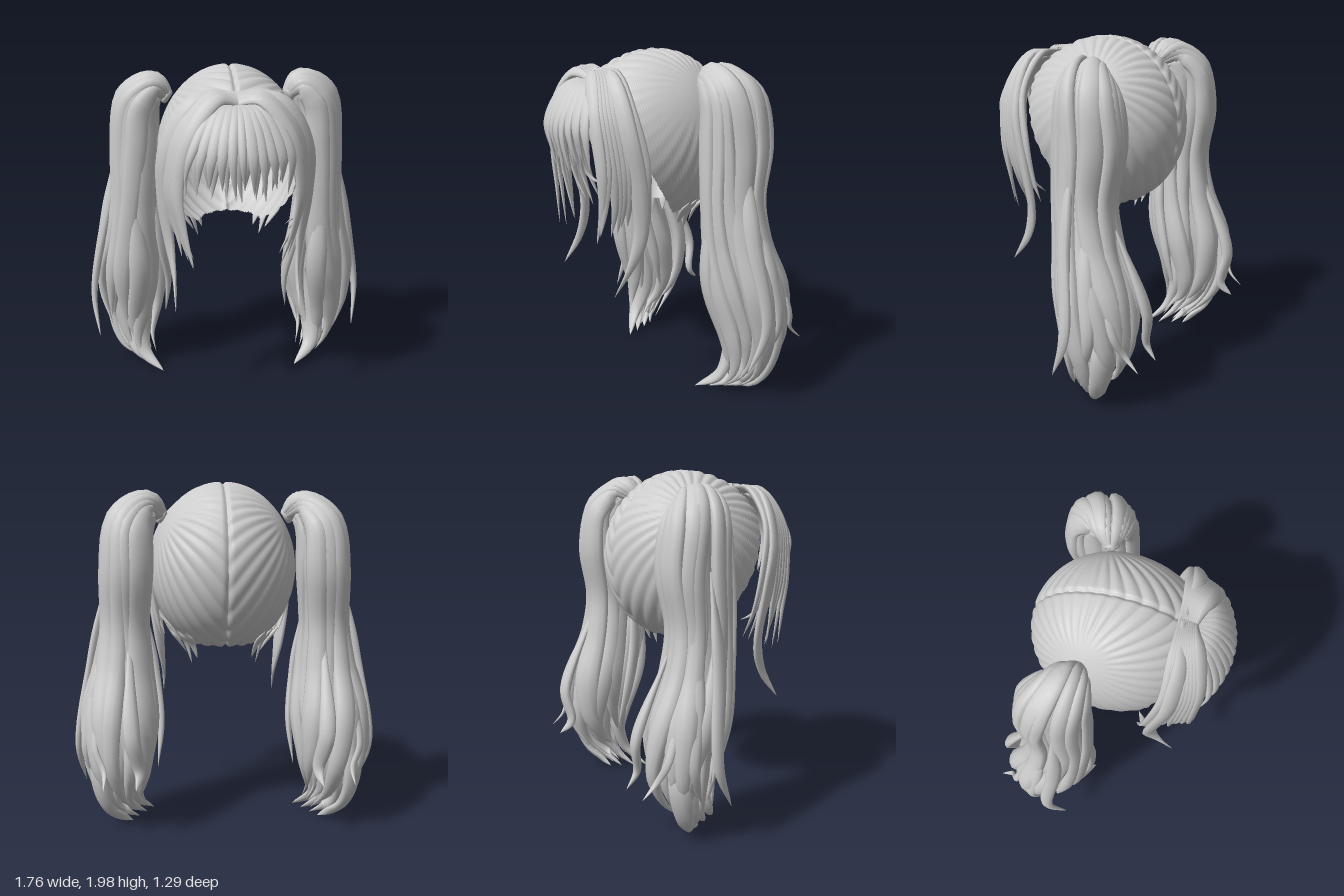
import * as THREE from 'three';

const V = (a) => new THREE.Vector3(a[0], a[1], a[2]);
const hair = new THREE.MeshStandardMaterial({ color: 0xcccccc, side: THREE.DoubleSide });
const HEAD = new THREE.Vector3(0, 1.5, -0.02);
const smooth = THREE.MathUtils.smoothstep;
const lerp = THREE.MathUtils.lerp;

// small seeded number generator
let seed = 7;
const rnd = () => (seed = (seed * 16807) % 2147483647) / 2147483647;

const curveOf = (pts) => new THREE.CatmullRomCurve3(pts.map(V));
const mirror = (pts, s) => pts.map(([x, y, z]) => [x * s, y, z]);
const blend = (A, B, k) => A.map((p, j) => p.map((c, a) => lerp(c, B[j][a], k)));

// Lens-shaped lock of hair: at(t) centre, out(t, p) outward hint, size(t) = [half width, half thickness]
function lock(name, at, out, size, seg = 28, sides = 10) {
  const pos = [], idx = [];
  for (let i = 0; i <= seg; i++) {
    const t = i / seg, p = at(t);
    const T = at(Math.min(1, t + 0.01)).sub(at(Math.max(0, t - 0.01))).normalize();
    const S = out(t, p).cross(T).normalize();
    const N = T.clone().cross(S);
    const [w, h] = size(t);
    for (let j = 0; j < sides; j++) {
      const a = (j / sides) * Math.PI * 2;
      const q = p.clone().addScaledVector(S, Math.cos(a) * w).addScaledVector(N, Math.sin(a) * h);
      pos.push(q.x, q.y, q.z);
      if (i < seg) {
        const b = i * sides + j, c = i * sides + (j + 1) % sides;
        idx.push(b, c, b + sides, c, c + sides, b + sides);
      }
    }
  }
  const g = new THREE.BufferGeometry();
  g.setAttribute('position', new THREE.Float32BufferAttribute(pos, 3));
  g.setIndex(idx);
  g.computeVertexNormals();
  const m = new THREE.Mesh(g, hair);
  m.name = name;
  return m;
}

// Lock through a few points, facing away from a centre, tapered at both ends
function pointLock(name, pts, w, h, centre = () => HEAD) {
  const c = curveOf(pts);
  return lock(name, (t) => c.getPoint(t), (t, p) => p.clone().sub(centre(p)), (t) => {
    const k = (0.35 + 0.65 * smooth(t, 0, 0.3)) * Math.pow(1 - t ** 2.5, 0.9) + 0.001;
    return [w * k, h * k];
  });
}

// Scalp: open ellipsoid, combed into shallow grooves that run to the two ties
function scalp() {
  const g = new THREE.SphereGeometry(1, 220, 110, -Math.PI / 2);
  const P = g.attributes.position, uv = g.attributes.uv;
  const axis = new THREE.Vector3(0.8, 0.58, -0.22).normalize();
  const u = new THREE.Vector3(0, 0, 1).cross(axis).normalize();
  const v = axis.clone().cross(u);
  for (let i = 0; i < P.count; i++) {
    const phi = -Math.PI / 2 + uv.getX(i) * Math.PI * 2;
    const cx = -Math.cos(phi), cz = Math.sin(phi);
    const az = Math.atan2(Math.abs(cx), cz);
    // hairline: high over the brow, low at the nape
    const th = (1 - uv.getY(i)) * lerp(1.05, 2.7, smooth(az, 0.5, 1.7));
    const d = new THREE.Vector3(cx * Math.sin(th), Math.cos(th), cz * Math.sin(th));
    const m = new THREE.Vector3(Math.abs(d.x), d.y, d.z);
    const ang = Math.atan2(m.dot(u), m.dot(v)), away = m.angleTo(axis);
    const comb = Math.abs(Math.sin(ang * 16 + 1.6 * Math.sin(away * 2)));
    const r = 1 + 0.02 * (comb - 0.7) * smooth(away, 0.12, 0.6) - 0.03 * Math.exp(-((d.x / 0.03) ** 2));
    P.setXYZ(i, d.x * 0.43 * r, 1.5 + d.y * 0.5 * r, -0.02 + d.z * (d.z > 0 ? 0.53 : 0.47) * r);
  }
  g.computeVertexNormals();
  const mesh = new THREE.Mesh(g, hair);
  mesh.name = 'scalp';
  return mesh;
}

// Pigtail centre line: x, y, z, radius sideways, radius front to back
const TAIL = [
  [0.35, 1.80, -0.13, 0.03, 0.03], [0.44, 1.86, -0.17, 0.08, 0.13],
  [0.54, 1.76, -0.22, 0.125, 0.20], [0.565, 1.5, -0.24, 0.135, 0.225],
  [0.58, 1.2, -0.215, 0.13, 0.20], [0.59, 0.95, -0.24, 0.165, 0.21],
  [0.61, 0.65, -0.31, 0.22, 0.25], [0.62, 0.4, -0.34, 0.20, 0.23],
  [0.60, 0.2, -0.30, 0.14, 0.17], [0.51, 0.05, -0.2, 0.07, 0.10],
];
// Loose locks that leave the pigtail: points, half width
const LOOSE = [
  [[[0.66, 1.5, -0.2], [0.77, 1.0, -0.21], [0.86, 0.5, -0.26], [0.83, 0.24, -0.16]], 0.05],
  [[[0.48, 1.3, -0.15], [0.42, 0.9, -0.15], [0.38, 0.6, -0.22], [0.40, 0.35, -0.28]], 0.05],
  [[[0.55, 1.05, -0.40], [0.54, 0.6, -0.59], [0.5, 0.4, -0.57], [0.52, 0.32, -0.64]], 0.05],
  [[[0.68, 0.95, -0.38], [0.75, 0.53, -0.5], [0.7, 0.4, -0.55], [0.7, 0.32, -0.63]], 0.025],
  [[[0.68, 1.15, -0.28], [0.78, 0.75, -0.35], [0.81, 0.48, -0.38], [0.75, 0.25, -0.3]], 0.05],
  [[[0.58, 1.2, -0.04], [0.56, 0.7, -0.06], [0.60, 0.35, -0.16], [0.58, 0.12, -0.2]], 0.07],
];
// Hooked ends, blended between a front and a back path
const HOOK_FRONT = [[0.5, 0.65, -0.2], [0.55, 0.33, -0.22], [0.55, 0.13, -0.16], [0.43, 0.02, -0.06]];
const HOOK_BACK = [[0.7, 0.65, -0.42], [0.73, 0.32, -0.42], [0.68, 0.12, -0.36], [0.55, 0.02, -0.28]];

function pigtail(s, label) {
  const g = new THREE.Group();
  g.name = label + 'Pigtail';
  const centre = curveOf(mirror(TAIL, s));
  const radii = curveOf(TAIL.map((p) => [p[3], p[4], 0]));
  const inward = (t) => centre.getTangent(t).cross(new THREE.Vector3(0, 0, s)).normalize();
  const offset = (t, a, k) => {
    const r = radii.getPoint(t);
    return inward(t).multiplyScalar(Math.cos(a) * r.x * k).add(new THREE.Vector3(0, 0, Math.sin(a) * r.y * k));
  };
  const layer = (name, count, k, endMin, wide) => {
    for (let i = 0; i < count; i++) {
      const a0 = ((i + 0.5 * rnd()) / count) * Math.PI * 2;
      const end = lerp(endMin, 1, rnd()), kk = k * lerp(0.88, 1.08, rnd()), ph = rnd() * 6;
      const ww = wide * lerp(0.8, 1.25, rnd());
      const ang = (t) => a0 + 0.9 * t + 0.32 * Math.sin(t * 8 + ph) * t;
      g.add(lock(name,
        (t) => centre.getPoint(t * end).add(offset(t * end, ang(t * end), kk)),
        (t) => offset(t * end, ang(t * end), 1),
        (t) => {
          const r = radii.getPoint(t * end), q = ((r.x + r.y) / 2) * Math.pow(1 - t ** 5, 0.9) + 0.001;
          return [q * ww, q * 0.23];
        }, 44));
    }
  };
  layer('outerLock', 13, 0.82, 0.8, 0.36);
  layer('innerLock', 8, 0.5, 0.88, 0.38);
  // solid core behind the locks
  g.add(lock('pigtailCore', (t) => centre.getPoint(t * 0.85), (t) => inward(t * 0.85), (t) => {
    const r = radii.getPoint(t * 0.85), q = 0.7 * (1 - t ** 5) + 0.005;
    return [r.y * q, r.x * q];
  }, 40, 14));
  const tailAxis = (p) => new THREE.Vector3(0.6 * s, p.y, -0.28);
  for (const [pts, w] of LOOSE) g.add(pointLock('looseLock', mirror(pts, s), w, w * 0.6, tailAxis));
  for (const k of [0, 0.35, 0.7, 1])
    g.add(pointLock('hookedEnd', mirror(blend(HOOK_FRONT, HOOK_BACK, k), s), 0.07, 0.042, tailAxis));
  // hair tie
  const tie = new THREE.Mesh(new THREE.TorusGeometry(0.03, 0.018, 12, 28), hair);
  tie.name = 'hairTie';
  tie.position.set(0.365 * s, 1.805, -0.13);
  tie.lookAt(1.215 * s, 2.3, -0.33);
  g.add(tie);
  return g;
}

// Fringe fanning out from the front of the parting, in two overlapping layers
function fringe() {
  const g = new THREE.Group();
  g.name = 'fringe';
  for (const [count, step, lift, w] of [[11, 0.054, 0.02, 0.04], [12, 0.052, -0.01, 0.042]])
    for (let i = 0; i < count; i++) {
      const x = (i - (count - 1) / 2) * step, tip = x + 0.07 * (rnd() - 0.5);
      g.add(pointLock('fringeLock', [
        [x * 0.15, 1.85, 0.40], [x * 0.6, 1.79, 0.51 + lift - 0.5 * x * x],
        [x, 1.6, 0.62 + lift - 1.1 * x * x], [tip, 1.33 + 0.12 * rnd(), 0.59 + lift - 1.1 * x * x],
      ], w * lerp(0.75, 1.15, rnd()), 0.02));
    }
  return g;
}

// Side locks swept from the parting down past the cheeks
const FRONT = [[-0.01, 1.85, 0.41], [0.12, 1.875, 0.45], [0.28, 1.68, 0.51], [0.34, 1.4, 0.50], [0.31, 1.17, 0.48], [0.23, 0.91, 0.48]];
const REAR = [[-0.01, 1.89, 0.33], [0.18, 1.88, 0.34], [0.36, 1.7, 0.34], [0.42, 1.42, 0.28], [0.40, 1.2, 0.24], [0.36, 1.07, 0.20]];
const LONG = [[0.02, 1.89, 0.35], [0.24, 1.86, 0.38], [0.39, 1.6, 0.37], [0.41, 1.3, 0.31], [0.38, 1.0, 0.28], [0.36, 0.82, 0.33], [0.36, 0.65, 0.44]];

function sideLocks(s, label) {
  const g = new THREE.Group();
  g.name = label + 'SideLocks';
  const n = 10;
  for (let i = 0; i < n; i++) {
    const drop = 0.14 * (rnd() - 0.3), shift = 0.07 * (rnd() - 0.5);
    const pts = blend(FRONT, REAR, i / (n - 1));
    pts[4][2] += shift * 0.6;
    pts[5][1] += drop;
    pts[5][0] += shift;
    pts[5][2] += shift;
    g.add(pointLock('sideLock', mirror(pts, s), 0.05, 0.024));
  }
  g.add(pointLock('longSideLock', mirror(LONG, s), 0.065, 0.03));
  // short wisps below the nape
  for (const [x, y, z] of [[0.19, 0.93, -0.1], [0.16, 0.97, -0.16], [0.22, 0.99, -0.05]])
    g.add(pointLock('napeWisp', mirror([[x * 1.5, 1.14, z * 1.5], [x * 1.2, 1.06, z * 1.15], [x, y, z]], s), 0.035, 0.012));
  return g;
}

export function createModel() {
  const model = new THREE.Group();
  model.name = 'twinTailHair';
  model.add(scalp(), fringe());
  for (const [s, label] of [[1, 'left'], [-1, 'right']]) model.add(pigtail(s, label), sideLocks(s, label));
  return model;
}
